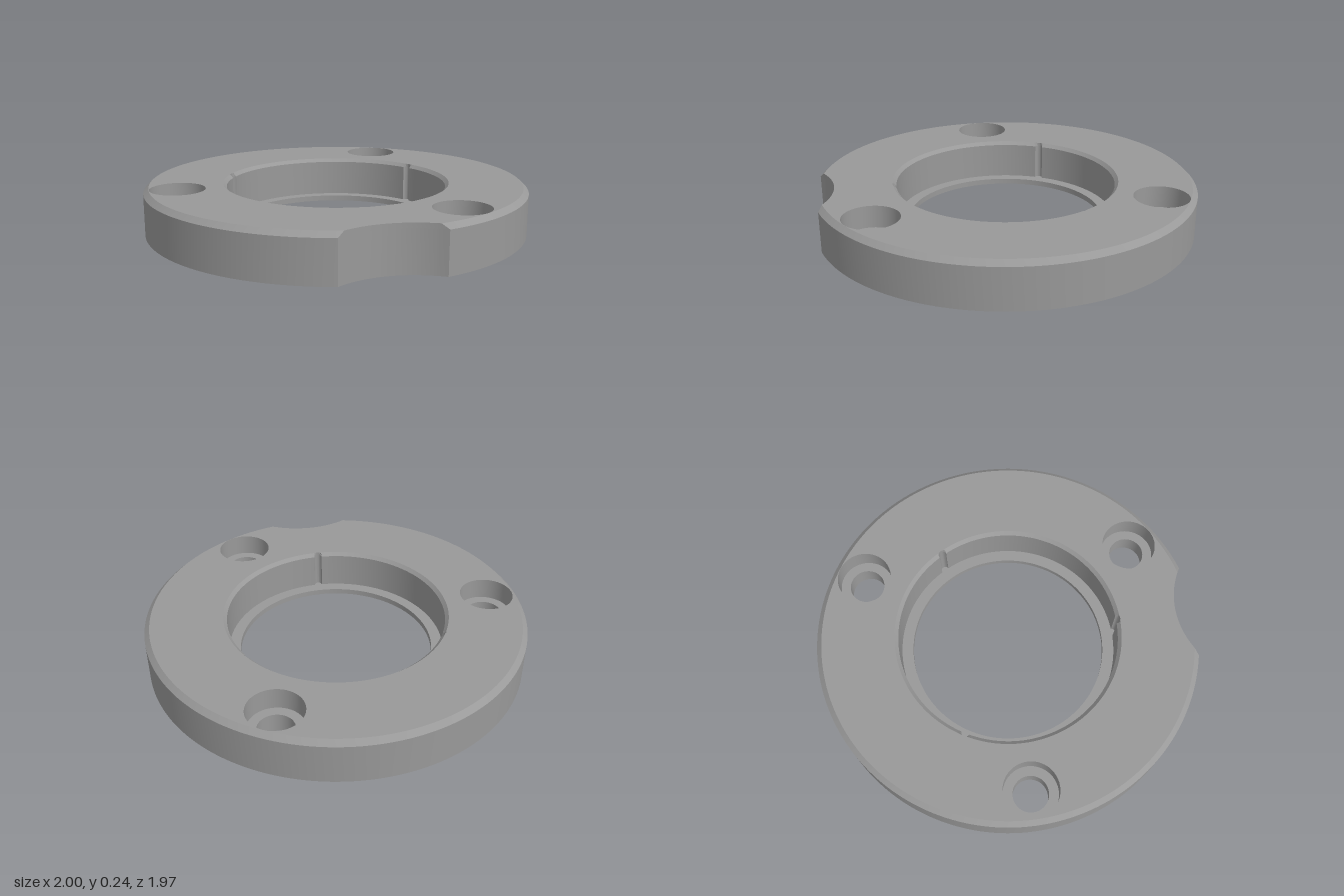
import * as THREE from 'three';
import { toCreasedNormals } from 'three/addons/utils/BufferGeometryUtils.js';

const CZ = 0.012; // the disc axis sits slightly forward of the middle
const TOP = 0.24, CHAMFER_Y = 0.215, BORE_CHAMFER_Y = 0.222, LEDGE_Y = 0.03;
const SEAT_Y = 0.125, RECESS_Y = 0.022;
const RIM = 1, RIM_TOP = 0.973;
const BORE = 0.575, BORE_TOP = 0.593, LIP = 0.515;
const NOTCH_D = 1.342, NOTCH_R = 0.45, GROOVE_R = 0.021;
const GROOVES = [0, (2 * Math.PI) / 3, (-2 * Math.PI) / 3];

// Angle at which the front notch meets a rim of radius r
const notchAngle = (r) => Math.acos((r * r + NOTCH_D ** 2 - NOTCH_R ** 2) / (2 * r * NOTCH_D));
const wrap = (a) => Math.atan2(Math.sin(a), Math.cos(a));

// Angles shared by all large loops: even steps, plus exact notch corners and fine groove steps
const angles = [];
const corners = [notchAngle(RIM_TOP), notchAngle(RIM)];
for (let i = 0; i < 180; i++) {
  const a = wrap((i / 180) * Math.PI * 2);
  const nearGroove = GROOVES.some((g) => Math.abs(wrap(a - g)) < 0.045);
  const nearCorner = Math.abs(a) > corners[0] - 0.005 && Math.abs(a) < corners[1] + 0.005;
  if (!nearGroove && !nearCorner) angles.push(a);
}
for (const c of corners) angles.push(c, -c);
for (const g of GROOVES) {
  for (let k = -6; k <= 6; k++) {
    angles.push(g + Math.asin((GROOVE_R / BORE) * Math.sin((k / 6) * Math.PI / 2)));
  }
}
angles.sort((a, b) => a - b);

// Loops of [x, z] points, running from +z towards +x
const polar = (r, a) => [r * Math.sin(a), CZ + r * Math.cos(a)];

const rimLoop = (r) => angles.map((a) => {
  const q = NOTCH_R ** 2 - (NOTCH_D * Math.sin(a)) ** 2;
  const cut = q > 0 && Math.cos(a) > 0 ? NOTCH_D * Math.cos(a) - Math.sqrt(q) : r;
  return polar(Math.min(r, cut), a);
});

const boreLoop = (r) => angles.map((a) => {
  let best = r;
  for (const g of GROOVES) {
    const d = wrap(a - g);
    const q = GROOVE_R ** 2 - (BORE * Math.sin(d)) ** 2;
    if (Math.cos(d) > 0 && q > 0) best = Math.max(best, BORE * Math.cos(d) + Math.sqrt(q));
  }
  return polar(best, a);
});

function circleLoop(r, cx = 0, cz = CZ, n = 48) {
  return Array.from({ length: n }, (_, i) => {
    const a = (i / n) * Math.PI * 2;
    return [cx + r * Math.sin(a), cz + r * Math.cos(a)];
  });
}

// Wall between a lower and an upper loop, facing outward or inward
function wall(lower, y0, upper, y1, outward) {
  const pos = [];
  const n = lower.length;
  const put = (...pts) => {
    for (const p of outward ? pts : pts.reverse()) pos.push(...p);
  };
  for (let i = 0; i < n; i++) {
    const j = (i + 1) % n;
    const a0 = [lower[i][0], y0, lower[i][1]], a1 = [lower[j][0], y0, lower[j][1]];
    const b0 = [upper[i][0], y1, upper[i][1]], b1 = [upper[j][0], y1, upper[j][1]];
    // The diagonal is mirrored so that both notch corners are cut cleanly
    if (a0[0] + a1[0] > 0) {
      put(a0, a1, b0);
      put(a1, b1, b0);
    } else {
      put(a0, a1, b1);
      put(a0, b1, b0);
    }
  }
  const g = new THREE.BufferGeometry();
  g.setAttribute('position', new THREE.Float32BufferAttribute(pos, 3));
  return toCreasedNormals(g, 0.5);
}

// Flat face at height y with holes, facing up or down
function face(outline, holes, y, up) {
  const s = up ? -1 : 1;
  const pts = (loop) => loop.map(([x, z]) => new THREE.Vector2(x, s * z));
  const shape = new THREE.Shape(pts(outline));
  for (const h of holes) shape.holes.push(new THREE.Path(pts(h)));
  return new THREE.ShapeGeometry(shape).rotateX((s * Math.PI) / 2).translate(0, y, 0);
}

export function createModel() {
  const model = new THREE.Group();
  model.name = 'flangeRing';
  const grey = new THREE.MeshStandardMaterial({ color: 0x999999 });
  grey.name = 'machined grey';
  const add = (name, geometry, parent = model) => {
    const mesh = new THREE.Mesh(geometry, grey);
    mesh.name = name;
    parent.add(mesh);
  };

  // Three bolt positions
  const bolts = GROOVES.map((g) => polar(0.83, g - Math.PI / 2));
  const seats = bolts.map(([x, z]) => circleLoop(0.142, x, z));
  const holes = bolts.map(([x, z]) => circleLoop(0.092, x, z));

  // Outer rim with front notch and top chamfer
  const rim = rimLoop(RIM), rimTop = rimLoop(RIM_TOP);
  add('outerWall', wall(rim, 0, rim, CHAMFER_Y, true));
  add('outerChamfer', wall(rim, CHAMFER_Y, rimTop, TOP, true));

  // Central bore with key grooves, ledge and lip
  const bore = boreLoop(BORE), boreTop = boreLoop(BORE_TOP);
  const lip = circleLoop(LIP, 0, CZ, 144);
  add('boreChamfer', wall(bore, BORE_CHAMFER_Y, boreTop, TOP, false));
  add('boreWall', wall(bore, LEDGE_Y, bore, BORE_CHAMFER_Y, false));
  add('boreLedge', face(bore, [lip], LEDGE_Y, true));
  add('lipWall', wall(lip, 0, lip, LEDGE_Y, false));

  // Top and bottom faces
  add('topFace', face(rimTop, [boreTop, ...seats], TOP, true));
  add('bottomFace', face(rim, [lip, ...seats], 0, false));

  // Counterbored bolt holes, with a shallow recess below
  seats.forEach((seat, i) => {
    const bolt = new THREE.Group();
    bolt.name = 'boltHole' + (i + 1);
    model.add(bolt);
    add('counterboreWall', wall(seat, SEAT_Y, seat, TOP, false), bolt);
    add('counterboreSeat', face(seat, [holes[i]], SEAT_Y, true), bolt);
    add('holeWall', wall(holes[i], RECESS_Y, holes[i], SEAT_Y, false), bolt);
    add('recessFace', face(seat, [holes[i]], RECESS_Y, false), bolt);
    add('recessWall', wall(seat, 0, seat, RECESS_Y, false), bolt);
  });

  return model;
}
